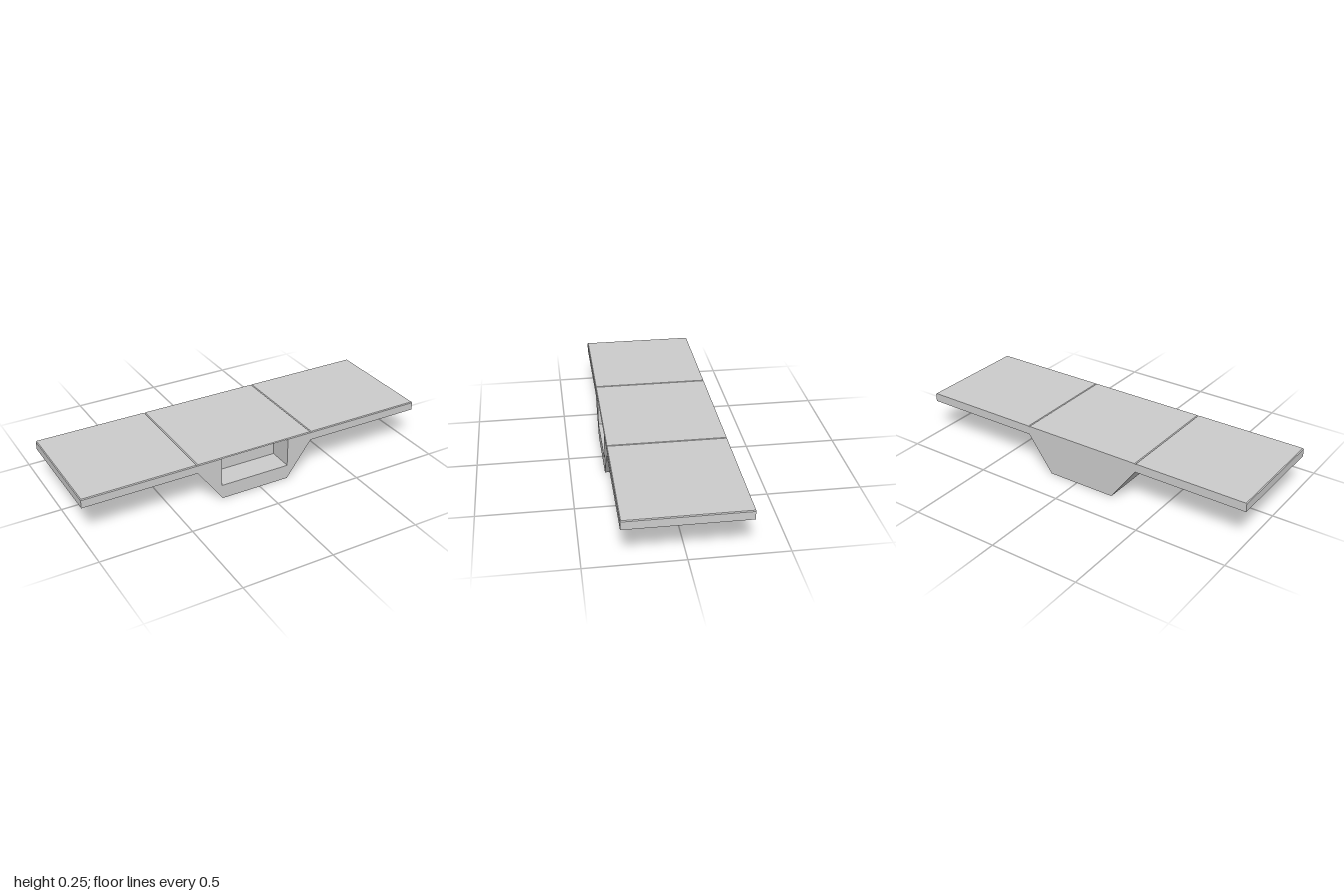
import * as THREE from 'three';

const material = new THREE.MeshStandardMaterial({ color: 0xcccccc, flatShading: true });

const HALF_DEPTH = 0.315; // z extent either side
const DECK = 0.242;       // underside of the thin top panels
const TOP = 0.247;
const RECESS_Z = 0.175;   // back wall of the front recess

function addMesh(group, geometry, name) {
  const mesh = new THREE.Mesh(geometry, material);
  mesh.name = name;
  group.add(mesh);
}

// Slab with a tapered keel below it; optionally notched from the top
function section(z0, z1, notched) {
  const points = [
    [-1, 0.198], [-0.37, 0.198], [-0.225, 0], [0.17, 0], [0.315, 0.198], [1, 0.198], [1, DECK],
    ...(notched ? [[0.17, DECK], [0.17, 0.08], [-0.23, 0.08], [-0.23, DECK]] : []),
    [-1, DECK],
  ];
  const shape = new THREE.Shape(points.map(([x, y]) => new THREE.Vector2(x, y)));
  const geometry = new THREE.ExtrudeGeometry(shape, { depth: z1 - z0, bevelEnabled: false });
  return geometry.translate(0, 0, z0);
}

// Thin panel whose top face is drawn in at the front and at both ends
function panel(x0, x1) {
  const inset = 0.004;
  const width = x1 - x0;
  const geometry = new THREE.BoxGeometry(width, TOP - DECK, 2 * HALF_DEPTH);
  const p = geometry.attributes.position;
  for (let i = 0; i < p.count; i++) {
    if (p.getY(i) < 0) continue;
    p.setX(i, p.getX(i) - Math.sign(p.getX(i)) * inset);
    if (p.getZ(i) > 0) p.setZ(i, p.getZ(i) - inset);
  }
  geometry.translate((x0 + x1) / 2, (TOP + DECK) / 2, 0);
  geometry.computeVertexNormals();
  return geometry;
}

export function createModel() {
  const group = new THREE.Group();
  group.name = 'deckWithKeel';

  // Body: solid behind, open recess in front
  addMesh(group, section(-HALF_DEPTH, RECESS_Z, false), 'rearBody');
  addMesh(group, section(RECESS_Z, HALF_DEPTH, true), 'recessedFrontBody');

  // Three top panels meeting at fine seams
  addMesh(group, panel(-1, -0.37), 'rightTopPanel');
  addMesh(group, panel(-0.37, 0.315), 'middleTopPanel');
  addMesh(group, panel(0.315, 1), 'leftTopPanel');

  return group;
}
